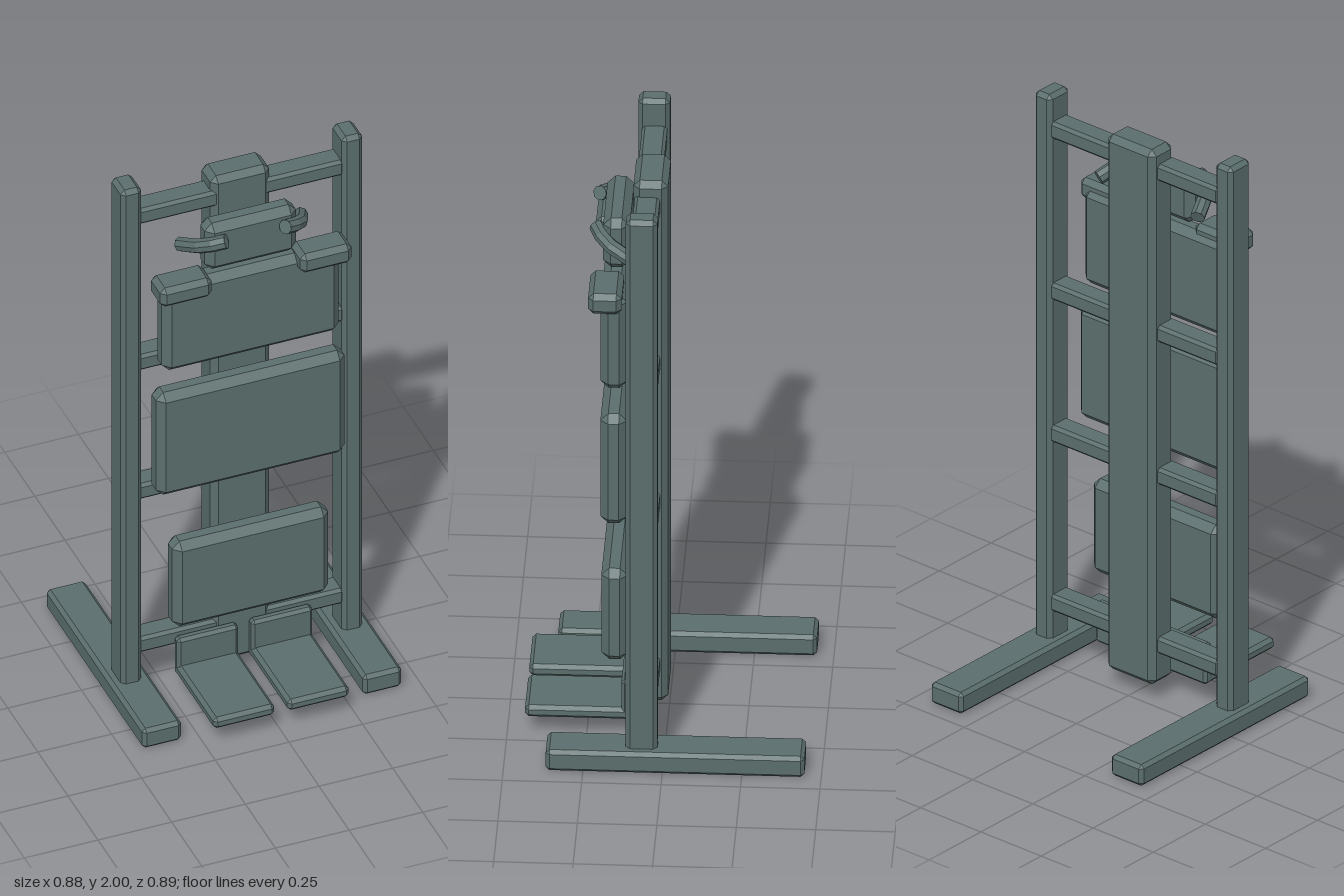
import * as THREE from 'three';
import { ConvexGeometry } from 'three/addons/geometries/ConvexGeometry.js';

const material = new THREE.MeshStandardMaterial({ color: 0x5a6e6c, flatShading: true });

// Box with chamfered edges, given by its minimum and maximum on each axis
function bevelBox(name, [x0, x1], [y0, y1], [z0, z1], c) {
  const half = [(x1 - x0) / 2, (y1 - y0) / 2, (z1 - z0) / 2];
  const points = [];
  for (const sx of [-1, 1]) for (const sy of [-1, 1]) for (const sz of [-1, 1]) {
    for (let axis = 0; axis < 3; axis++) {
      const p = half.map((h, i) => (i === axis ? h : h - c));
      points.push(new THREE.Vector3(sx * p[0], sy * p[1], sz * p[2]));
    }
  }
  const mesh = new THREE.Mesh(new ConvexGeometry(points), material);
  mesh.name = name;
  mesh.position.set((x0 + x1) / 2, (y0 + y1) / 2, (z0 + z1) / 2);
  return mesh;
}

// Bent grip: a tube with closed ends
function gripHandle(name, side) {
  const group = new THREE.Group();
  group.name = name;
  const path = new THREE.CatmullRomCurve3([
    [0.205, 1.73, 0.095], [0.16, 1.775, 0.19], [0.10, 1.80, 0.225],
  ].map(([x, y, z]) => new THREE.Vector3(side * x, y, z)));
  const radius = 0.024;
  group.add(new THREE.Mesh(new THREE.TubeGeometry(path, 4, radius, 8), material));
  for (const [t, dir] of [[0, -1], [1, 1]]) {
    const cap = new THREE.Mesh(new THREE.CircleGeometry(radius, 8), material);
    const point = path.getPoint(t);
    cap.position.copy(point);
    cap.lookAt(point.clone().addScaledVector(path.getTangent(t), dir));
    group.add(cap);
  }
  return group;
}

export function createModel() {
  const model = new THREE.Group();
  model.name = 'uprightSupportFrame';

  // Central spine
  model.add(bevelBox('spine', [-0.1, 0.1], [0.06, 1.958], [0, 0.109], 0.02));

  // Crossbars between the posts
  [0.2, 0.8, 1.305, 1.877].forEach((y, i) => {
    model.add(bevelBox('crossbar' + (i + 1), [-0.35, 0.35], [y - 0.03, y + 0.03], [0.025, 0.105], 0.01));
  });

  // Padded rests: half width, bottom, top
  for (const [name, w, y0, y1] of [
    ['legPad', 0.265, 0.3, 0.632],
    ['hipPad', 0.32, 0.83, 1.23],
    ['chestPad', 0.3, 1.313, 1.652],
    ['headPad', 0.155, 1.668, 1.847],
  ]) model.add(bevelBox(name, [-w, w], [y0, y1], [0.118, 0.202], 0.025));

  // Mirrored parts
  for (const [label, side] of [['left', 1], ['right', -1]]) {
    const span = (a, b) => (side > 0 ? [a, b] : [-b, -a]);
    model.add(
      bevelBox(label + 'Post', span(0.34, 0.41), [0.06, 2], [0.017, 0.117], 0.014),
      bevelBox(label + 'BaseFoot', span(0.308, 0.44), [0, 0.075], [-0.447, 0.367], 0.012),
      bevelBox(label + 'ShoulderRest', span(0.15, 0.325), [1.602, 1.675], [0.134, 0.24], 0.017),
      bevelBox(label + 'FootPlate', span(0.022, 0.23), [0.07, 0.112], [0.115, 0.443], 0.012),
      bevelBox(label + 'HeelPlate', span(0.022, 0.23), [0.07, 0.214], [0.105, 0.14], 0.01),
      gripHandle(label + 'GripHandle', side),
    );
  }
  return model;
}
